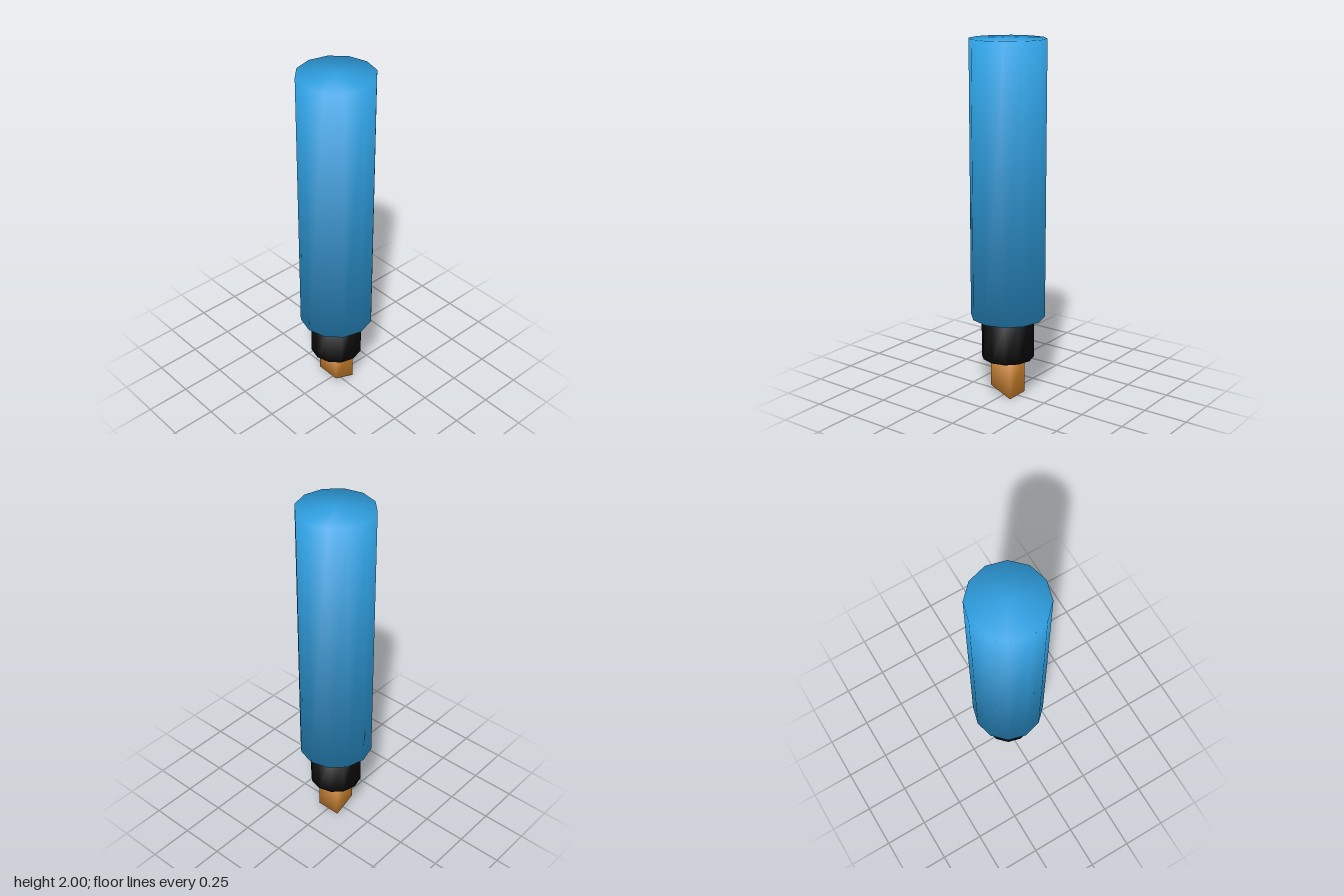
import * as THREE from 'three';

// Round every edge's shading: normals point outward from the centre of the unit-sized form
function softNormals(geometry, hx, hy, hz) {
  const pos = geometry.attributes.position;
  const nor = geometry.attributes.normal;
  const n = new THREE.Vector3();
  for (let i = 0; i < pos.count; i++) {
    n.fromBufferAttribute(pos, i).divide(new THREE.Vector3(hx, hy, hz)).normalize();
    nor.setXYZ(i, n.x, n.y, n.z);
  }
  return geometry;
}

function part(name, geometry, color, y) {
  const mesh = new THREE.Mesh(geometry, new THREE.MeshStandardMaterial({ color }));
  mesh.name = name;
  mesh.position.y = y;
  return mesh;
}

// Twelve-sided closed cylinder between two heights
function barrel(name, radius, bottom, top, color) {
  const height = top - bottom;
  const geometry = softNormals(
    new THREE.CylinderGeometry(radius, radius, height, 12), radius, height / 2, radius);
  return part(name, geometry, color, (bottom + top) / 2);
}

export function createModel() {
  const group = new THREE.Group();
  group.name = 'markerPen';

  group.add(barrel('body', 0.208, 0.467, 2, 0x2f9fe0));
  group.add(barrel('collar', 0.148, 0.225, 0.467, 0x080808));

  // Square nib with a chisel-cut lower end, longer on the +x side
  const height = 0.225, hx = 0.067, hz = 0.071;
  const nib = softNormals(
    new THREE.BoxGeometry(hx * 2, height, hz * 2), hx, height / 2, hz);
  const pos = nib.attributes.position;
  for (let i = 0; i < pos.count; i++) {
    if (pos.getY(i) < 0 && pos.getX(i) < 0) pos.setY(i, pos.getY(i) + 0.055);
  }
  group.add(part('nib', nib, 0xd0842c, height / 2));

  return group;
}
